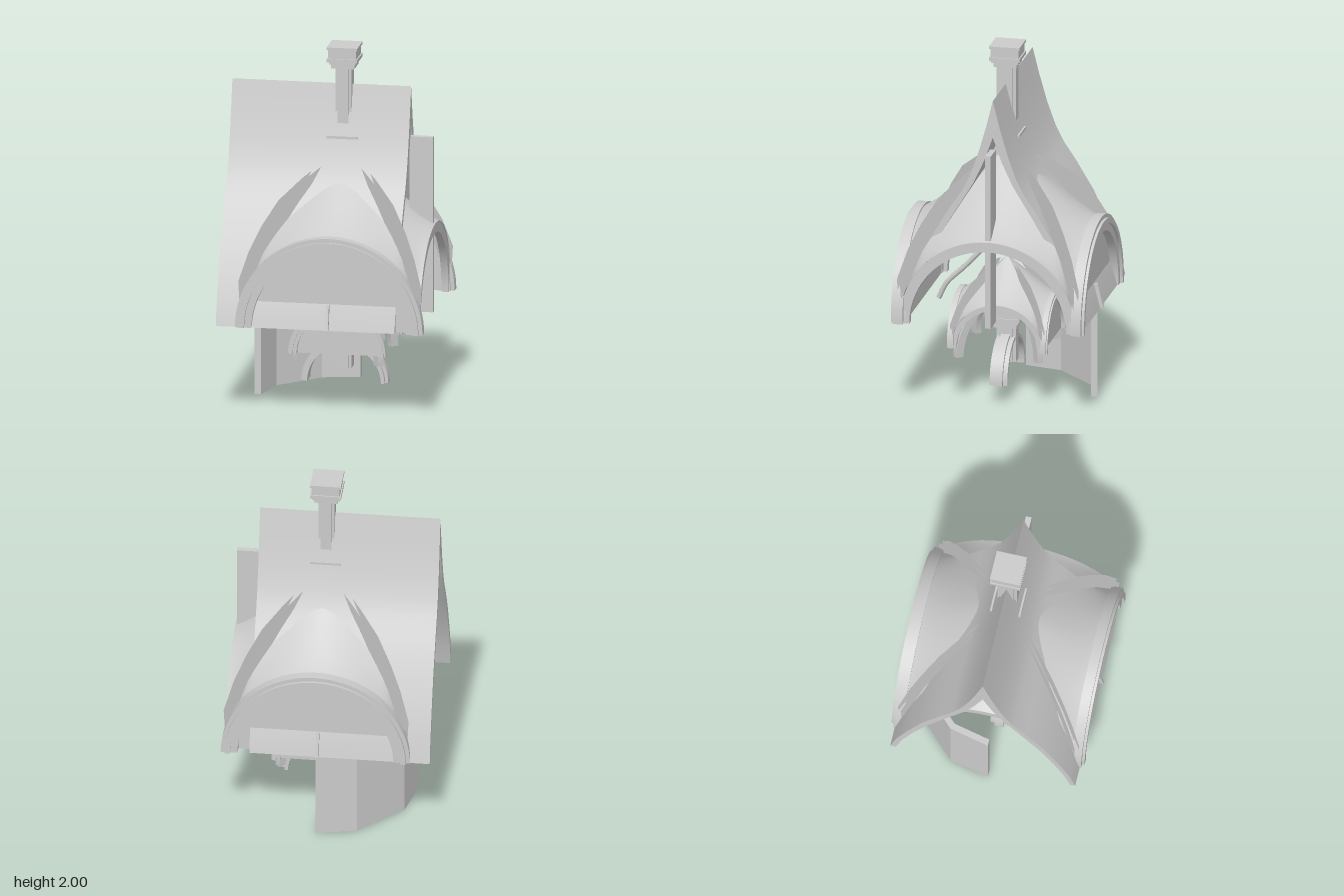
import * as THREE from 'three';
import { toCreasedNormals } from 'three/addons/utils/BufferGeometryUtils.js';

const CX = 0.05; // axis of canopy and finials
const mat = new THREE.MeshStandardMaterial({ color: 0xcccccc, side: THREE.DoubleSide });

function add(parent, name, geo, x = 0, y = 0, z = 0) {
  const m = new THREE.Mesh(geo, mat);
  m.name = name;
  m.position.set(x, y, z);
  parent.add(m);
  return m;
}

const vectors = (pts) => pts.map(([x, y]) => new THREE.Vector2(x, y));

function extrude(shape, depth, crease = 0.5) {
  const g = new THREE.ExtrudeGeometry(shape, { depth, bevelEnabled: false, curveSegments: 32 });
  g.translate(0, 0, -depth / 2);
  return toCreasedNormals(g, crease);
}

// half ring standing on y = 0, centred on z = 0
function archGeo(inner, outer, depth) {
  const s = new THREE.Shape();
  s.absarc(0, 0, outer, 0, Math.PI, false);
  s.absarc(0, 0, inner, Math.PI, 0, true);
  return extrude(s, depth);
}

// piecewise linear lookup in [x, y] pairs
function lookup(table, x) {
  for (let i = 1; i < table.length; i++) {
    const [x0, y0] = table[i - 1], [x1, y1] = table[i];
    if (x <= x1) return y0 + (y1 - y0) * (x - x0) / (x1 - x0);
  }
  return table[table.length - 1][1];
}

// height of the valley above the springing, by distance from the axis
const VALLEY = [[0, 0.91], [0.11, 0.78], [0.31, 0.53], [0.38, 0.43], [0.44, 0.27], [0.5, 0]];

// one flared quarter of the vault, from its arch back to the two valleys
function vaultGeo() {
  const g = new THREE.PlaneGeometry(2, 1, 32, 12);
  const p = g.attributes.position;
  for (let i = 0; i < p.count; i++) {
    const a = p.getX(i) * Math.PI / 2, v = p.getY(i) + 0.5;
    const s = 0.5 * Math.sin(a), arch = 0.5 * Math.cos(a);
    const valley = lookup(VALLEY, Math.abs(s));
    p.setXYZ(i, s, arch + (valley - arch) * v ** 1.2, 0.5 + (Math.abs(s) - 0.5) * v);
  }
  g.computeVertexNormals();
  return g;
}

// four-sided vault with moulded arches front and back and diagonal blades
function canopy(name, baseY, scale) {
  const group = new THREE.Group();
  group.name = name;
  group.position.set(CX, baseY, 0);
  group.scale.setScalar(scale);

  const vault = vaultGeo();
  for (let i = 0; i < 4; i++) add(group, 'vault', vault).rotation.y = i * Math.PI / 2;

  for (const side of [1, -1]) {
    add(group, 'archMoulding', archGeo(0.43, 0.475, 0.065), 0, 0, side * 0.495);
    add(group, 'archMoulding', archGeo(0.47, 0.5, 0.085), 0, 0, side * 0.5);
    add(group, 'archMoulding', archGeo(0.495, 0.522, 0.055), 0, 0, side * 0.5);
    const half = new THREE.Shape();
    half.absarc(0, 0, 0.45, 0, Math.PI, false);
    add(group, 'archWall', extrude(half, 0.015), 0, 0, side * 0.475);
    add(group, 'sideArch', archGeo(0.44, 0.495, 0.04), side * 0.475).rotation.y = Math.PI / 2;
  }

  // blades stand upright in the diagonal planes, each a pair of sheets
  const k = Math.SQRT2;
  const outer = [[0.105, 0.84], [0.2, 0.77], [0.31, 0.67], [0.39, 0.54], [0.45, 0.41], [0.5, 0.25]];
  const inner = [[0.49, 0.05], [0.42, 0.29], [0.3, 0.52], [0.2, 0.65]];
  const blade = new THREE.ShapeGeometry(new THREE.Shape(vectors([...outer, ...inner].map(([d, y]) => [d * k, y]))));
  for (let i = 0; i < 4; i++) {
    const pair = new THREE.Group();
    pair.name = 'valleyBlade';
    pair.rotation.y = Math.PI / 4 + i * Math.PI / 2;
    for (const z of [-0.014, 0.014]) add(pair, 'bladeSheet', blade, 0, 0, z);
    group.add(pair);
  }
  return group;
}

// square post with a moulded cap at its head
function finial(name, topY, bottomY) {
  const group = new THREE.Group();
  group.name = name;
  group.position.set(CX - 0.005, topY, 0);
  const cap = [[0.085, 0, 0.014], [0.078, 0.014, 0.05], [0.085, 0.064, 0.02], [0.075, 0.084, 0.014], [0.065, 0.098, 0.024]];
  for (const [half, drop, h] of cap) {
    add(group, 'capMoulding', new THREE.BoxGeometry(half * 2, h, half * 2), 0, -drop - h / 2);
  }
  const len = topY - bottomY - 0.12;
  const y = -0.12 - len / 2;
  add(group, 'shaft', new THREE.BoxGeometry(0.09, len, 0.075), 0, y);
  add(group, 'shaft', new THREE.BoxGeometry(0.06, len, 0.11), 0, y);
  return group;
}

export function createModel() {
  const model = new THREE.Group();
  model.name = 'gabledCanopy';

  // swept roof, a thin shell with a flared section
  const outer = [[0, 1.78], [0.04, 1.62], [0.083, 1.47], [0.13, 1.34], [0.175, 1.25], [0.24, 1.155], [0.345, 0.98], [0.43, 0.79], [0.487, 0.64], [0.52, 0.51]];
  const inner = [[0.49, 0.51], [0.455, 0.64], [0.4, 0.78], [0.32, 0.95], [0.22, 1.12], [0.11, 1.3], [0.05, 1.43], [0, 1.57]];
  const mirror = (pts) => pts.slice().reverse().map(([z, y]) => [-z, y]);
  const section = new THREE.Shape(vectors([...outer, ...inner, ...mirror(inner).slice(1), ...mirror(outer).slice(0, -1)]));
  add(model, 'roof', extrude(section, 0.995), -0.0825, 0, 0).rotation.y = Math.PI / 2;

  // nested canopies
  model.add(canopy('mainCanopy', 0.51, 1), canopy('innerCanopy', 0.31, 0.52));

  // posts above, within and below the canopies
  model.add(finial('roofFinial', 2, 1.4), finial('middleFinial', 1.5, 1.2), finial('pendant', 0.5, 0.18));
  add(model, 'pendantCore', new THREE.BoxGeometry(0.06, 0.25, 0.06), CX, 0.62, 0);

  // upright slab on the side
  add(model, 'sideSlab', new THREE.BoxGeometry(0.13, 0.99, 0.032), 0.475, 1.005, 0);

  // small crossing ribs and the lowest arch
  const rib = archGeo(0.295, 0.34, 0.035);
  for (const side of [1, -1]) {
    add(model, 'diagonalRib', rib, CX, 0.25, 0).rotation.y = side * Math.PI / 4;
  }
  add(model, 'lowArch', archGeo(0.205, 0.225, 0.1), CX, 0.1, 0);
  add(model, 'lowArch', archGeo(0.22, 0.242, 0.05), CX, 0.1, 0);

  // slender curved braces, and a small fin on the roof below each arch
  for (const side of [1, -1]) {
    const path = new THREE.CatmullRomCurve3([[0.02, 0.95], [0.12, 0.83], [0.24, 0.7], [0.34, 0.6], [0.385, 0.51]]
      .map(([z, y]) => new THREE.Vector3(CX, y, side * z)));
    add(model, 'brace', new THREE.TubeGeometry(path, 24, 0.016, 6));
    add(model, 'eaveFin', new THREE.BoxGeometry(0.016, 0.14, 0.04), 0.04, 0.58, side * 0.503).rotation.x = -side * 0.22;
  }

  // faceted quarter-round base wall
  const ring = (r) => [0, 26, 64, 90].map((deg) => {
    const a = deg * Math.PI / 180;
    return [CX - r * Math.sin(a), r * Math.cos(a)];
  });
  const plan = new THREE.Shape(vectors([...ring(0.507), ...ring(0.47).reverse()]));
  add(model, 'baseWall', extrude(plan, 0.5, 0.1), 0, 0.25, 0).rotation.x = -Math.PI / 2;

  // ceiling over the base wall, seen from inside only
  const ceiling = new THREE.LatheGeometry(vectors([[0.47, 0.5], [0.42, 0.66], [0.31, 0.73], [0.1, 0.735]]), 3, Math.PI, Math.PI / 2);
  add(model, 'baseCeiling', toCreasedNormals(ceiling, 0.1), CX).material = new THREE.MeshStandardMaterial({ color: 0xcccccc, side: THREE.BackSide });

  return model;
}
